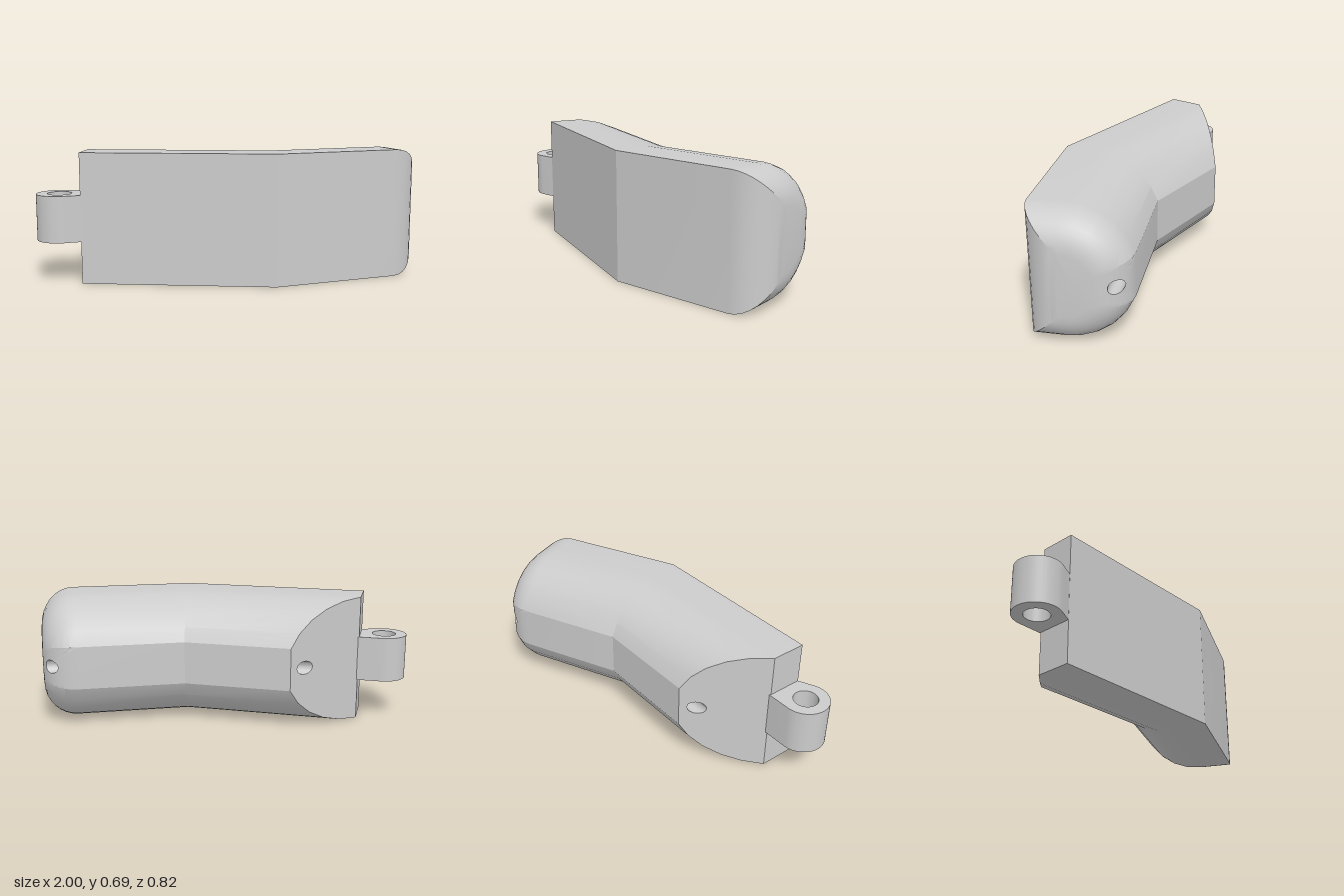
import * as THREE from 'three';
import { toCreasedNormals } from 'three/addons/utils/BufferGeometryUtils.js';

const H = 0.345;          // half height, also the radius of the rounded back
const DEPTH = 0.515;      // front face to back flat
const ARC = 0.19;         // depth of the centre of the rounded back
const FILLET = 0.18;      // rounding of the tip
const BEND = THREE.MathUtils.degToRad(25);
const STEPS = 8, ARC_STEPS = 5;
const HOLE_T = 0.45, HOLE_R = 0.036;

// Half height of the narrow back flat for a section shrunk by d
const flatHalf = d => Math.sqrt((H - d) ** 2 - (DEPTH - ARC - d) ** 2);

// D-shaped section as [depth, height] pairs, shrunk inward by d
function section(d) {
  const r = H - d, a0 = Math.acos((DEPTH - ARC - d) / r), top = [];
  for (let i = 0; i <= ARC_STEPS; i++) {
    const a = Math.PI / 2 + (a0 - Math.PI / 2) * i / ARC_STEPS;
    top.push([ARC + r * Math.cos(a), r * Math.sin(a)]);
  }
  return [[d, -r], [d, r], ...top, ...top.map(([t, y]) => [t, -y]).reverse()];
}

// Places on the slanted start, the bend and the angled tip half
const onStart = ([t, y]) => new THREE.Vector3(-0.75 + Math.max(0, t - ARC), y + H, 0.36 - t);
const onBend = ([t, y]) => new THREE.Vector3(0.27 - t * Math.tan(BEND / 2), y + H, 0.36 - t);
const onTip = (t, y, s) => new THREE.Vector3(
  0.27 + s * Math.cos(BEND) - t * Math.sin(BEND), y + H,
  0.36 - s * Math.sin(BEND) - t * Math.cos(BEND));
const inset = phi => FILLET * (1 - Math.cos(phi));
const along = phi => 0.69 + FILLET * Math.sin(phi);

function bodyGeometry() {
  const pos = [];
  const tri = (...p) => p.forEach(v => pos.push(v.x, v.y, v.z));
  const quad = (a, b, c, d) => { tri(a, b, c); tri(a, c, d); };

  // Skin: start, bend, then rings shrinking round the tip
  const base = section(0);
  const rings = [base.map(onStart), base.map(onBend)];
  for (let k = 0; k <= STEPS; k++) {
    const phi = k / STEPS * Math.PI / 2;
    rings.push(section(inset(phi)).map(([t, y]) => onTip(t, y, along(phi))));
  }
  const n = base.length, flat = 2 + ARC_STEPS;
  for (let i = 0; i < rings.length - 1; i++) {
    for (let j = 0; j < n; j++) {
      if (i >= 2 && j === flat) continue; // left open for the patch with the hole
      const q = (j + 1) % n;
      quad(rings[i][j], rings[i + 1][j], rings[i + 1][q], rings[i][q]);
    }
  }

  // Tip end face
  const end = rings[rings.length - 1];
  const mid = onTip((FILLET + DEPTH - FILLET) / 2, 0, along(Math.PI / 2));
  end.forEach((p, j) => tri(mid, end[(j + 1) % n], p));

  // Square end face beside the lug
  const first = rings[0];
  quad(first[0], first[1], first[2], first[n - 1]);

  // Outline of the curved patch at the tip, as [angle, height]
  const edge = [], w0 = flatHalf(0), w1 = flatHalf(FILLET);
  for (let i = 0; i < 6; i++) edge.push([0, w0 * (i / 3 - 1)]);
  for (let k = 0; k < STEPS; k++) {
    const phi = k / STEPS * Math.PI / 2;
    edge.push([phi, flatHalf(inset(phi))]);
  }
  for (let i = 0; i < 6; i++) edge.push([Math.PI / 2, w1 * (1 - i / 3)]);
  for (let k = STEPS; k > 0; k--) {
    const phi = k / STEPS * Math.PI / 2;
    edge.push([phi, -flatHalf(inset(phi))]);
  }
  const hole = edge.map(([phi, y]) => {
    const a = Math.atan2(y, DEPTH - inset(phi) - HOLE_T);
    return [HOLE_T + HOLE_R * Math.cos(a), HOLE_R * Math.sin(a)];
  });

  // Patch rows run in to the hole, then on as the channel to the slanted face
  const rows = [];
  for (let k = 0; k <= 4; k++) {
    rows.push(edge.map(([phi, y], i) => {
      const [ht, hy] = hole[i];
      const hphi = Math.acos(1 - (DEPTH - ht) / FILLET);
      const p = phi + (hphi - phi) * k / 4;
      return onTip(DEPTH - inset(p), y + (hy - y) * k / 4, along(p));
    }));
  }
  rows.push(hole.map(onBend), hole.map(onStart));
  for (let i = 0; i < rows.length - 1; i++) {
    edge.forEach((_, j) => {
      const q = (j + 1) % edge.length;
      quad(rows[i][j], rows[i][q], rows[i + 1][q], rows[i + 1][j]);
    });
  }

  // Slanted start face with the channel mouth
  const toV2 = ([x, y]) => new THREE.Vector2(x, y);
  const face = new THREE.Shape(base.slice(2).map(toV2));
  face.holes.push(new THREE.Path(hole.map(toV2)));
  const fp = new THREE.ShapeGeometry(face).toNonIndexed().attributes.position;
  for (let i = 0; i < fp.count; i += 3) {
    tri(...[2, 1, 0].map(k => onStart([fp.getX(i + k), fp.getY(i + k)])));
  }

  const geo = new THREE.BufferGeometry();
  geo.setAttribute('position', new THREE.Float32BufferAttribute(pos, 3));
  return toCreasedNormals(geo, 0.38);
}

// Hinge lug: a rounded eye blending into a short neck
function lugGeometry() {
  const cx = -0.878, cz = 0.285, r = 0.122;
  const shape = new THREE.Shape();
  shape.moveTo(-0.745, cz - r);
  shape.lineTo(-0.745, 0.357);
  shape.absarc(cx, cz, r, THREE.MathUtils.degToRad(65), Math.PI * 1.5, false);
  shape.closePath();
  const eye = new THREE.Path();
  eye.absarc(cx, cz, 0.064, 0, Math.PI * 2, true);
  shape.holes.push(eye);
  const geo = new THREE.ExtrudeGeometry(shape, { depth: 0.245, bevelEnabled: false, curveSegments: 24 });
  geo.rotateX(Math.PI / 2).translate(0, 0.468, 0);
  return toCreasedNormals(geo, 0.5);
}

export function createModel() {
  const group = new THREE.Group();
  group.name = 'bentFingerSegment';
  const material = new THREE.MeshStandardMaterial({ color: 0xcccccc });
  const add = (name, geo) => {
    const mesh = new THREE.Mesh(geo, material);
    mesh.name = name;
    group.add(mesh);
  };
  add('fingerBody', bodyGeometry());
  add('hingeLug', lugGeometry());
  return group;
}
